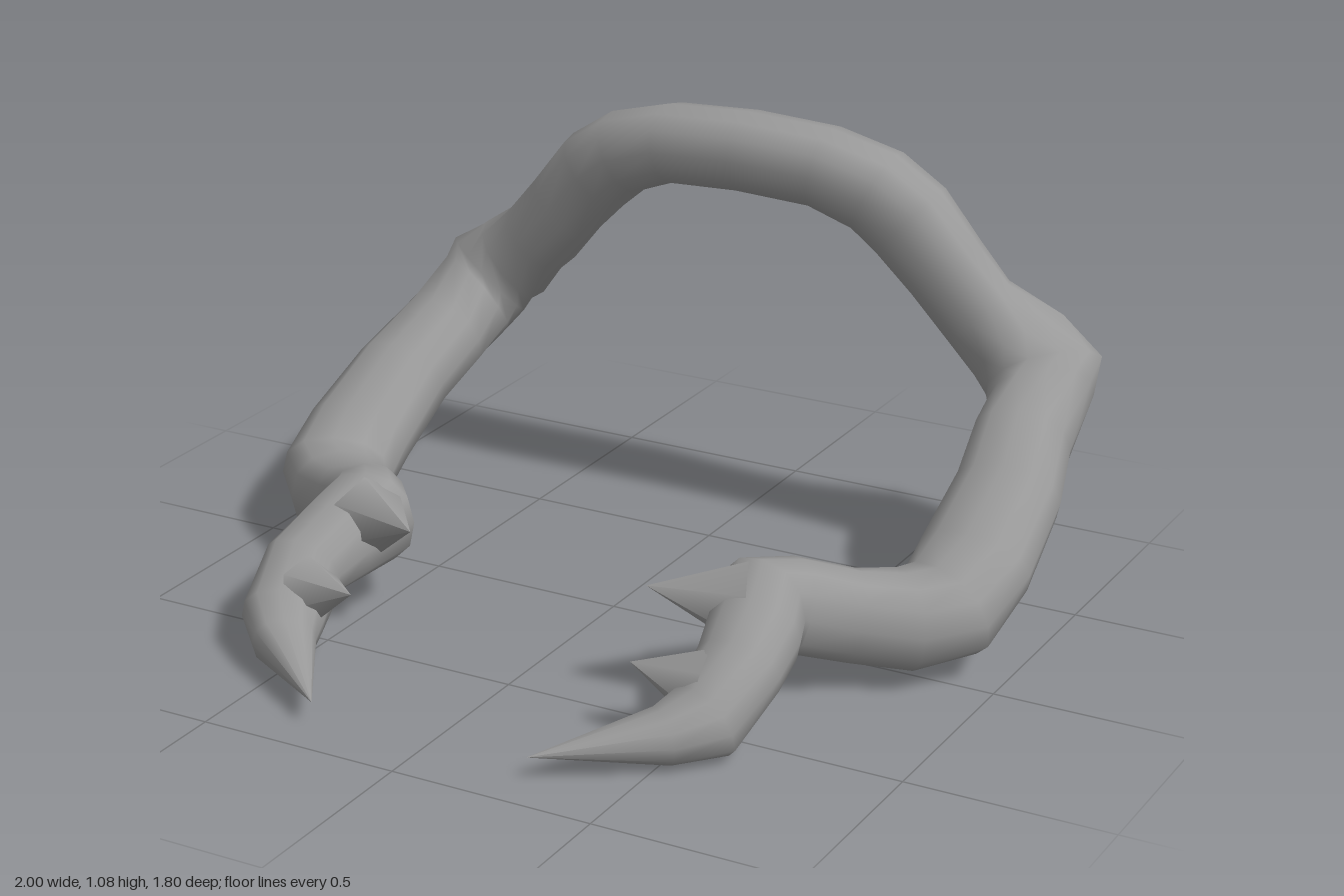
import * as THREE from 'three';

// Stations from the middle of the arch to the left claw tip:
// x, y, z, horizontal radius, vertical radius, heading in degrees (corner only)
const HALF = [
  [0, 0.98, -0.685, 0.115, 0.1],
  [0.21, 0.968, -0.692, 0.115, 0.1],
  [0.35, 0.923, -0.705, 0.115, 0.108],
  [0.44, 0.858, -0.71, 0.107, 0.114],
  [0.535, 0.75, -0.718, 0.1, 0.105],
  [0.62, 0.65, -0.728, 0.105, 0.103],
  [0.722, 0.56, -0.762, 0.143, 0.12, 75],
  [0.793, 0.505, -0.745, 0.15, 0.125, 48],
  [0.805, 0.465, -0.7, 0.132, 0.115, 34],
  [0.82, 0.4, -0.55, 0.122, 0.108],
  [0.85, 0.325, -0.4, 0.132, 0.104],
  [0.857, 0.225, -0.2, 0.142, 0.105],
  [0.845, 0.16, -0.07, 0.14, 0.116],
  [0.778, 0.15, 0.015, 0.125, 0.115],
  [0.683, 0.172, 0.1, 0.098, 0.11],
  [0.58, 0.213, 0.195, 0.1, 0.113],
  [0.535, 0.227, 0.26, 0.12, 0.117],
  [0.56, 0.198, 0.36, 0.111, 0.103],
  [0.58, 0.166, 0.47, 0.103, 0.089],
  [0.56, 0.088, 0.595, 0.099, 0.09],
  [0.5, 0.072, 0.68, 0.075, 0.062],
  [0.28, 0.06, 0.895, 0, 0],
];
const SIDES = 12;

// Sine or cosine value pushed outwards for a slightly squared section
const squared = (v) => Math.sign(v) * Math.abs(v) ** 0.87;

// Sweeps a rounded ring along the stations
function sweep(stations) {
  const pts = stations.map(([x, y, z]) => new THREE.Vector3(x, y, z));
  const dir = (i) => pts[i + 1].clone().sub(pts[i]).normalize();
  const last = pts.length - 1;
  const up = new THREE.Vector3(0, 1, 0);
  const pos = [], idx = [];
  pts.forEach((p, i) => {
    const [, , , a, b, heading] = stations[i];
    const t = dir(Math.max(i - 1, 0)).add(dir(Math.min(i, last - 1))).normalize();
    if (heading !== undefined) {
      const h = Math.hypot(t.x, t.z), yaw = THREE.MathUtils.degToRad(heading);
      t.set(h * Math.sin(yaw), t.y, h * Math.cos(yaw));
    }
    const side = up.clone().cross(t).normalize();
    const bin = t.clone().cross(side);
    for (let j = 0; j < SIDES; j++) {
      const ang = (j / SIDES) * Math.PI * 2;
      const v = p.clone()
        .addScaledVector(side, a * squared(Math.cos(ang)))
        .addScaledVector(bin, b * squared(Math.sin(ang)));
      pos.push(v.x, v.y, v.z);
      if (i < last) {
        const k = i * SIDES + j, n = i * SIDES + ((j + 1) % SIDES);
        idx.push(k, n, k + SIDES, n, n + SIDES, k + SIDES);
      }
    }
  });
  const geo = new THREE.BufferGeometry();
  geo.setAttribute('position', new THREE.Float32BufferAttribute(pos, 3));
  geo.setIndex(idx);
  geo.computeVertexNormals();
  return geo;
}

// Cone running from a base point inside the claw to a tip
function thorn(name, base, tip, radius, material) {
  const a = new THREE.Vector3(...base), b = new THREE.Vector3(...tip);
  const d = b.clone().sub(a);
  const mesh = new THREE.Mesh(new THREE.ConeGeometry(radius, d.length(), 6, 1, true), material);
  mesh.position.copy(a).add(b).multiplyScalar(0.5);
  mesh.quaternion.setFromUnitVectors(new THREE.Vector3(0, 1, 0), d.normalize());
  mesh.name = name;
  return mesh;
}

export function createModel() {
  const group = new THREE.Group();
  group.name = 'clawedArch';
  const material = new THREE.MeshStandardMaterial({ color: 0x999999 });

  // Arch, arms and claws as one continuous limb
  const mirrored = HALF.slice(1).reverse().map(([x, y, z, a, b, heading]) =>
    [-x, y, z, a, b, heading === undefined ? undefined : 180 - heading]);
  const limb = new THREE.Mesh(sweep([...mirrored, ...HALF]), material);
  limb.name = 'archAndArms';
  group.add(limb);

  // Two thorns on the inner edge of each claw
  for (const s of [1, -1]) {
    const label = s > 0 ? 'left' : 'right';
    group.add(thorn(label + 'UpperThorn', [s * 0.5, 0.25, 0.31], [s * 0.315, 0.29, 0.415], 0.1, material));
    group.add(thorn(label + 'LowerThorn', [s * 0.52, 0.145, 0.545], [s * 0.37, 0.185, 0.59], 0.085, material));
  }
  return group;
}
